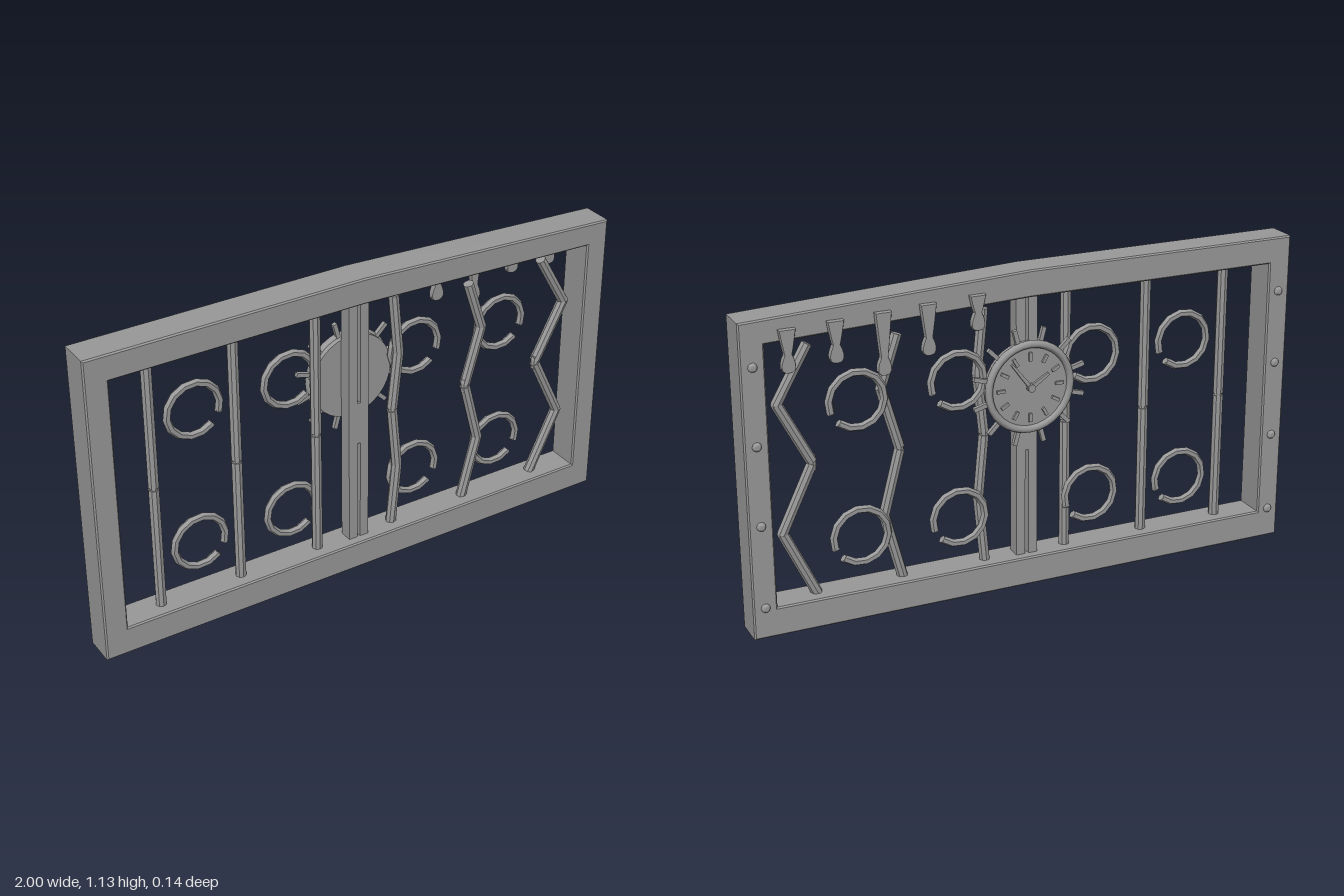
import * as THREE from 'three';
import { toCreasedNormals } from 'three/addons/utils/BufferGeometryUtils.js';

const iron = new THREE.MeshStandardMaterial({ color: 0x999999 });
iron.name = 'grey iron';

export function createModel() {
  const model = new THREE.Group();
  model.name = 'clockGate';

  function add(name, geometry, x = 0, y = 0, z = 0, parent = model, crease = 0.4) {
    const mesh = new THREE.Mesh(toCreasedNormals(geometry, crease), iron);
    mesh.name = name;
    mesh.position.set(x, y, z);
    parent.add(mesh);
    return mesh;
  }
  function group(name, x = 0, y = 0, z = 0) {
    const g = new THREE.Group();
    g.name = name;
    g.position.set(x, y, z);
    model.add(g);
    return g;
  }
  const toPoints = (list) => list.map(([x, y]) => new THREE.Vector2(x, y));

  // Frame: one slab with an opening, its top rail sagging on the left half
  const bevel = 0.005;
  const outline = new THREE.Shape(toPoints([
    [-1 + bevel, bevel], [1 - bevel, bevel], [1 - bevel, 1.083], [0, 1.13], [-1 + bevel, 1.13],
  ]));
  outline.holes.push(new THREE.Path(toPoints([
    [-0.922, 0.098], [-0.922, 1.047], [0, 1.047], [0.922, 1.014], [0.922, 0.098],
  ])));
  add('frame', new THREE.ExtrudeGeometry(outline, {
    depth: 0.12 - 2 * bevel, bevelEnabled: true, bevelSize: bevel, bevelThickness: bevel, bevelSegments: 1,
  }), 0, 0, -0.05 + bevel);

  // Rivets on the back of both posts
  for (const x of [-0.958, 0.958]) {
    for (const y of [0.11, 0.4, 0.675, 0.94]) {
      const rivet = new THREE.SphereGeometry(0.016, 10, 4, 0, Math.PI * 2, 0, Math.PI / 2);
      rivet.scale(1, 0.75, 1).rotateX(-Math.PI / 2);
      add('rivet', rivet, x, y, -0.05, model, 0.7);
    }
  }

  // Upright bars: rods between points, with a narrow groove at half height
  const barRadius = 0.019, barZ = 0.01;
  function rod(parent, a, b) {
    const dx = b[0] - a[0], dy = b[1] - a[1];
    const mesh = add('rod', new THREE.CylinderGeometry(barRadius, barRadius, Math.hypot(dx, dy), 8),
      (a[0] + b[0]) / 2, (a[1] + b[1]) / 2, 0, parent);
    mesh.rotation.z = -Math.atan2(dx, dy);
  }
  function bar(name, x, bend, top) {
    const g = group(name, x, 0, barZ);
    const upper = [[0, 0.572], [bend, 0.785], [0, top]];
    const lower = [[0, 0.1], [bend, 0.335], [0, 0.563]];
    for (const path of [lower, upper]) {
      if (bend === 0) {
        rod(g, path[0], path[2]);
        continue;
      }
      rod(g, path[0], path[1]);
      rod(g, path[1], path[2]);
      add('elbow', new THREE.SphereGeometry(barRadius, 8, 6), path[1][0], path[1][1], 0, g);
    }
    add('grooveCore', new THREE.CylinderGeometry(0.015, 0.015, 0.05, 8), 0, 0.567, 0, g);
  }
  for (const x of [-0.765, -0.46, -0.155]) bar('straightBar', x, 0, 1.05);
  bar('slightlyBentBar', 0.15, 0.022, 1.01);
  bar('bentBar', 0.455, 0.06, 0.965);
  bar('zigzagBar', 0.76, 0.11, 0.975);

  // Twin centre bars joined by a block behind the clock
  for (const side of [-1, 1]) {
    add('centreBar', new THREE.BoxGeometry(0.033, 0.95, 0.05), side * 0.0225, 0.573, 0.01);
  }
  add('centreBlock', new THREE.BoxGeometry(0.014, 0.16, 0.05), 0, 0.57, 0.01);

  // Open rings, two rows
  const ringRadius = 0.096, tube = 0.014, start = -20, sweep = 332;
  const ringSpots = [
    [-0.6, 0.8], [-0.245, 0.8], [0.25, 0.777], [0.605, 0.765],
    [-0.6, 0.285], [-0.245, 0.285], [0.25, 0.285], [0.605, 0.285],
  ];
  for (const [x, y] of ringSpots) {
    const g = group('openRing', x, y, -0.008);
    const rad = THREE.MathUtils.degToRad;
    add('ringArc', new THREE.TorusGeometry(ringRadius, tube, 6, 13, rad(sweep)), 0, 0, 0, g)
      .rotation.z = rad(start);
    for (const a of [rad(start), rad(start + sweep)]) {
      add('ringEnd', new THREE.CylinderGeometry(tube, tube, 0.004, 6),
        ringRadius * Math.cos(a), ringRadius * Math.sin(a), 0, g).rotation.z = a;
    }
  }

  // Clock facing the back
  const clock = group('clock', 0.005, 0.73, 0);
  const disc = new THREE.CylinderGeometry(0.155, 0.155, 0.032, 32).rotateX(Math.PI / 2);
  add('clockDisc', disc, 0, 0, -0.034, clock);
  add('clockRim', new THREE.TorusGeometry(0.15, 0.014, 8, 32), 0, 0, -0.048, clock, 1);
  for (let i = 0; i < 12; i++) {
    const markAngle = (i * Math.PI) / 6, rayAngle = markAngle + Math.PI / 12;
    add('hourMark', new THREE.BoxGeometry(0.03, 0.011, 0.01),
      0.108 * Math.cos(markAngle), 0.108 * Math.sin(markAngle), -0.053, clock).rotation.z = markAngle;
    add('ray', new THREE.BoxGeometry(0.06, 0.015, 0.015),
      0.18 * Math.cos(rayAngle), 0.18 * Math.sin(rayAngle), -0.042, clock).rotation.z = rayAngle;
  }
  function hand(name, x, y, width) {
    const length = Math.hypot(x, y);
    const shape = new THREE.Shape(toPoints([
      [-0.012, -width / 2], [length, -width / 4], [length, width / 4], [-0.012, width / 2],
    ]));
    add(name, new THREE.ExtrudeGeometry(shape, { depth: 0.009, bevelEnabled: false }), 0, 0, -0.063, clock)
      .rotation.z = Math.atan2(y, x);
  }
  hand('minuteHand', 0.07, 0.09, 0.015);
  hand('hourHand', -0.065, 0.042, 0.018);
  add('clockHub', new THREE.CylinderGeometry(0.014, 0.014, 0.02, 12).rotateX(Math.PI / 2), 0, 0, -0.059, clock);

  // Drips hanging from the back of the sagging top rail
  for (const [x, bottom] of [[0.197, 0.96], [0.37, 0.9], [0.525, 0.855], [0.685, 0.92], [0.845, 0.91]]) {
    const top = 1.085 - 0.04 * x;
    const neck = bottom + 0.04;
    const s = new THREE.Shape();
    s.moveTo(-0.026, top);
    s.quadraticCurveTo(-0.018, (top + neck) / 2, -0.011, neck + 0.02);
    s.bezierCurveTo(-0.03, neck - 0.02, -0.025, bottom, 0, bottom);
    s.bezierCurveTo(0.025, bottom, 0.03, neck - 0.02, 0.011, neck + 0.02);
    s.quadraticCurveTo(0.018, (top + neck) / 2, 0.026, top);
    add('drip', new THREE.ExtrudeGeometry(s, {
      depth: 0.014, bevelEnabled: true, bevelSize: 0.002, bevelThickness: 0.003, bevelSegments: 1, curveSegments: 6,
    }), x, 0, -0.063);
  }
  return model;
}
